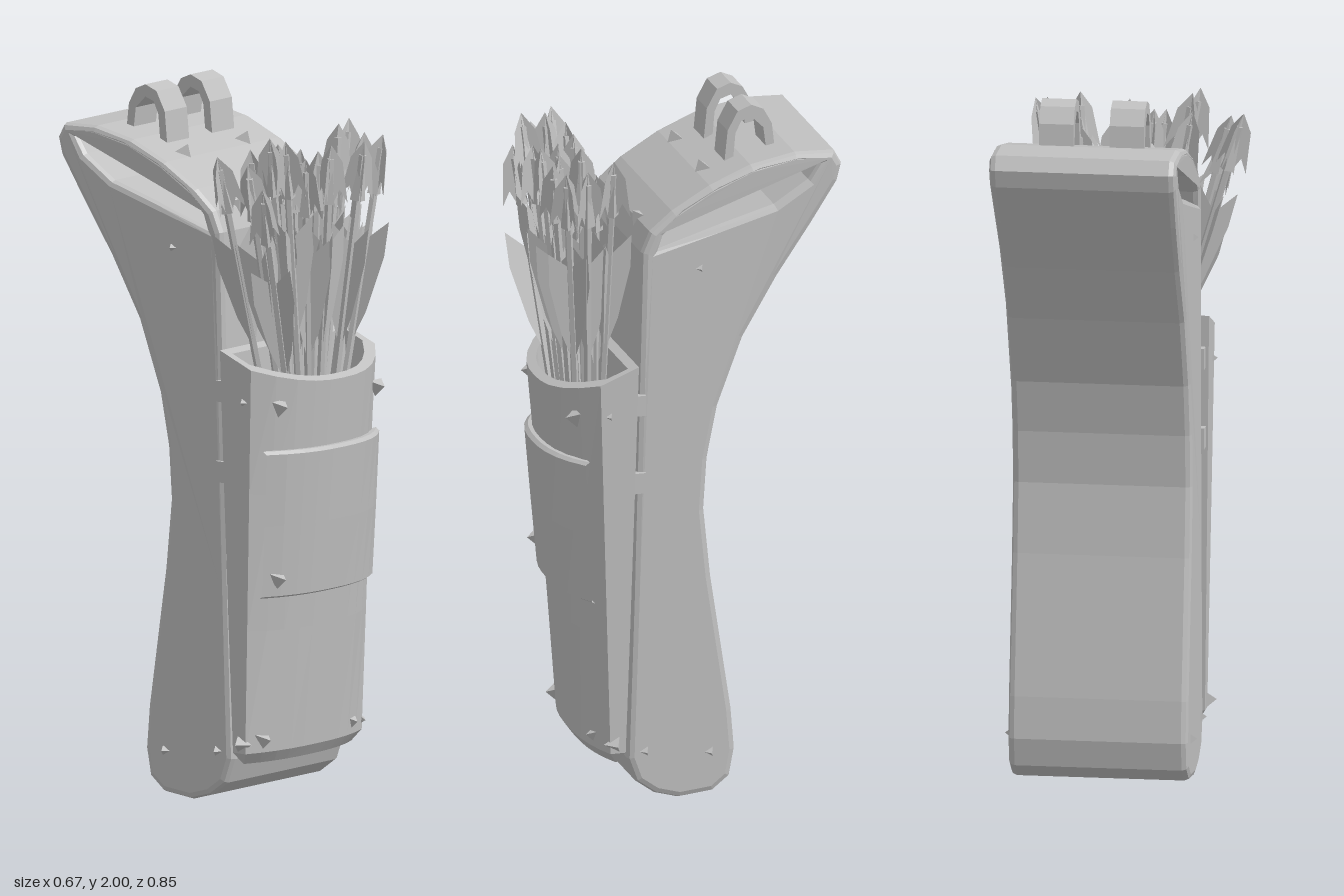
import * as THREE from 'three';

const grey = new THREE.MeshStandardMaterial({ color: 0xc0c0c0, side: THREE.DoubleSide });
grey.name = 'plain grey';
const UP = new THREE.Vector3(0, 1, 0);

// mesh with faceted normals
function add(parent, name, geo) {
  const g = geo.index ? geo.toNonIndexed() : geo;
  g.computeVertexNormals();
  const mesh = new THREE.Mesh(g, grey);
  mesh.name = name;
  parent.add(mesh);
  return mesh;
}

// side profile in [z, y], extruded along x from x0 to x1
function sideExtrude(shape, x0, x1, bevel) {
  const g = new THREE.ExtrudeGeometry(shape, {
    depth: x1 - x0 - 2 * bevel, bevelEnabled: bevel > 0, bevelSize: bevel,
    bevelThickness: bevel, bevelOffset: -bevel, bevelSegments: 2, curveSegments: 8,
  });
  return g.rotateY(Math.PI / 2).translate(x0 + bevel, 0, 0);
}
const zy = (pts) => pts.map(([z, y]) => new THREE.Vector2(-z, y));

// closed rings of points joined bottom to top, both ends closed
function loft(rings) {
  const centre = (r) => {
    const c = new THREE.Vector3();
    r.forEach((p) => c.addScaledVector(p, 1 / r.length));
    return r.map(() => c);
  };
  const all = [centre(rings[0]), ...rings, centre(rings[rings.length - 1])];
  const pos = [];
  const n = rings[0].length;
  for (let i = 0; i < all.length - 1; i++) {
    for (let j = 0; j < n; j++) {
      const k = (j + 1) % n;
      const a = all[i][j], b = all[i][k], c = all[i + 1][k], d = all[i + 1][j];
      if (i > 0) pos.push(...a, ...b, ...c);
      if (i < all.length - 2) pos.push(...a, ...c, ...d);
    }
  }
  const g = new THREE.BufferGeometry();
  g.setAttribute('position', new THREE.Float32BufferAttribute(pos, 3));
  return g;
}

// pocket measures at height t (0 bottom, 1 top)
const mix = THREE.MathUtils.lerp;
function pocketAt(t) {
  const zb = mix(0.2, 0.165, t), zf = mix(0.285, 0.39, t);
  return { cx: 0.055, half: mix(0.258, 0.275, t), zb, zf, ze: mix(zb, zf, 0.5) };
}
function frontPoint(s, t, out) {
  const p = pocketAt(t);
  const z = p.ze + (p.zf - p.ze) * (1 - Math.abs(s) ** 2.5) + out;
  return new THREE.Vector3(p.cx + s * p.half, mix(0.12, 1.21, t), z);
}
function pocketRing(t, inset) {
  const p = pocketAt(t), ring = [];
  const k = 1 - inset / p.half;
  for (let i = 0; i <= 10; i++) {
    const v = frontPoint(-1 + i / 5, t, -inset);
    ring.push(v.setX(p.cx + (v.x - p.cx) * k));
  }
  ring.push(new THREE.Vector3(p.cx + p.half * k, ring[0].y, p.zb + inset));
  ring.unshift(new THREE.Vector3(p.cx - p.half * k, ring[0].y, p.zb + inset));
  // rim rises towards the back
  ring.forEach((v) => { v.y += (p.zf - v.z) * 0.4 * t * t; });
  return ring;
}

// small three-sided stud pointing along a normal
function stud(parent, x, y, z, nx, ny, nz) {
  const m = add(parent, 'stud', new THREE.ConeGeometry(0.032, 0.035, 3));
  m.position.set(x, y, z);
  m.quaternion.setFromUnitVectors(UP, new THREE.Vector3(nx, ny, nz).normalize());
}

// arrow with its tip at the local origin, pointing up
function makeArrow(length) {
  const arrow = new THREE.Group();
  arrow.name = 'arrow';
  add(arrow, 'shaft', new THREE.CylinderGeometry(0.011, 0.011, length, 5).translate(0, -length / 2 - 0.04, 0));
  add(arrow, 'tipCore', new THREE.ConeGeometry(0.022, 0.17, 4).translate(0, -0.085, 0));
  const fin = (pts) => new THREE.ShapeGeometry(new THREE.Shape(pts.map(([x, y]) => new THREE.Vector2(x, y))));
  for (let i = 0; i < 3; i++) {
    const a = (i * Math.PI * 2) / 3;
    add(arrow, 'tipBlade', fin([[0, 0], [0.035, -0.05], [0.055, -0.17], [0.03, -0.13], [0, -0.2]]).rotateY(a));
    add(arrow, 'vane', fin([[0, -0.6], [0.035, -0.5], [0.066, -0.34], [0.064, -0.24], [0, -0.3]]).rotateY(a + 0.5));
  }
  return arrow;
}

export function createModel() {
  const model = new THREE.Group();
  model.name = 'quiver';

  // main case with an opening through the sides under its cover
  const shape = new THREE.Shape(zy([
    [0.19, 0.13], [0.165, 0.06], [0.11, 0.02], [0.04, 0], [-0.06, 0.01], [-0.11, 0.05], [-0.125, 0.13],
    [-0.115, 0.25], [-0.085, 0.45], [-0.055, 0.65], [-0.035, 0.85], [-0.045, 1.0], [-0.075, 1.15],
    [-0.15, 1.35], [-0.25, 1.52], [-0.35, 1.67], [-0.425, 1.79], [-0.437, 1.84], [-0.415, 1.88],
    [-0.3, 1.885], [-0.17, 1.86], [-0.05, 1.81], [0.06, 1.745], [0.125, 1.69], [0.15, 1.63], [0.16, 1.2],
    [0.175, 0.6],
  ]));
  shape.holes.push(new THREE.Path(zy([
    [0.1, 1.635], [0.085, 1.675], [0.02, 1.735], [-0.08, 1.79], [-0.2, 1.835], [-0.31, 1.852], [-0.37, 1.845],
    [-0.34, 1.8], [-0.24, 1.735], [-0.08, 1.69],
  ])));
  const body = sideExtrude(shape, -0.2, 0.31, 0.018);
  const bp = body.attributes.position;
  for (let i = 0; i < bp.count; i++) {
    const flare = 1 + 0.04 * THREE.MathUtils.smoothstep(bp.getY(i), 1.5, 1.88);
    bp.setX(i, 0.055 + (bp.getX(i) - 0.055) * flare);
  }
  add(model, 'case', body);

  // two hanging loops
  const arch = new THREE.Shape(zy([
    [-0.125, 1.83], [-0.135, 1.93], [-0.165, 1.985], [-0.205, 2], [-0.24, 1.985], [-0.265, 1.94], [-0.275, 1.85],
    [-0.25, 1.85], [-0.24, 1.93], [-0.205, 1.965], [-0.175, 1.955], [-0.158, 1.92], [-0.15, 1.83],
  ]));
  for (const x of [-0.098, 0.102]) add(model, 'hangingLoop', sideExtrude(arch, x, x + 0.098, 0));

  // open front pocket
  const levels = [0, 0.03, 0.35, 0.7, 1];
  const rings = levels.map((t) => pocketRing(t, t === 0 ? 0.02 : 0));
  rings.push(pocketRing(1, 0.025), pocketRing(0.6, 0.025));
  add(model, 'frontPocket', loft(rings));

  // raised panel on the pocket
  const panel = [[0.44, 0.012], [0.445, 0.022], [0.63, 0.024], [0.82, 0.024], [0.828, 0.012]].map(([t, out]) => {
    const ring = [];
    for (let i = 0; i <= 10; i++) ring.push(frontPoint((-1 + i / 5) * 0.92, t, out));
    return ring;
  });
  add(model, 'pocketPanel', loft(panel));

  // tabs joining pocket and case
  for (const x of [-0.2, 0.31]) {
    for (const y of [0.95, 1.18]) {
      add(model, 'joiningTab', new THREE.BoxGeometry(0.02, 0.06, 0.06).translate(x, y, 0.17));
    }
  }

  // studs
  for (const [x, y, z] of [[-0.16, 1.15, 0.345], [0.27, 1.15, 0.345], [-0.15, 0.19, 0.275], [0.235, 0.19, 0.275]]) {
    stud(model, x, y, z, 0, 0, 1);
  }
  stud(model, -0.15, 0.655, 0.33, 0, 0, 1);
  for (const x of [-0.09, 0.175]) {
    stud(model, x, 1.83, -0.065, 0, 1, 0.5);
    stud(model, x, 1.7, 0.125, 0, 1, 1);
  }
  for (const s of [-1, 1]) {
    const x = 0.055 + s * 0.255;
    for (const [y, z] of [[1.57, -0.02], [0.15, 0.14], [0.13, -0.05], [1.16, 0.25], [0.18, 0.23]]) {
      stud(model, x + (z > 0.2 ? s * 0.015 : 0), y, z, s, 0, 0);
    }
  }

  // fanned bundle of arrows
  let seed = 7;
  const rnd = () => ((seed = (seed * 16807) % 2147483647) / 2147483647);
  for (let row = 0; row < 3; row++) {
    for (let i = 0; i < 6; i++) {
      const tip = new THREE.Vector3(
        -0.285 + i * 0.109 + (rnd() - 0.5) * 0.05,
        1.82 + rnd() * 0.1 - (i === 0 ? 0.04 : 0),
        0.235 + row * 0.062 + (rnd() - 0.5) * 0.03,
      );
      const base = new THREE.Vector3(0.06 + tip.x * 0.22, 0.85, 0.225 + row * 0.025);
      const dir = tip.clone().sub(base);
      const arrow = makeArrow(dir.length() - 0.05);
      arrow.position.copy(tip);
      arrow.quaternion.setFromUnitVectors(UP, dir.normalize());
      arrow.rotateY(rnd() * 6.28);
      model.add(arrow);
    }
  }
  return model;
}
